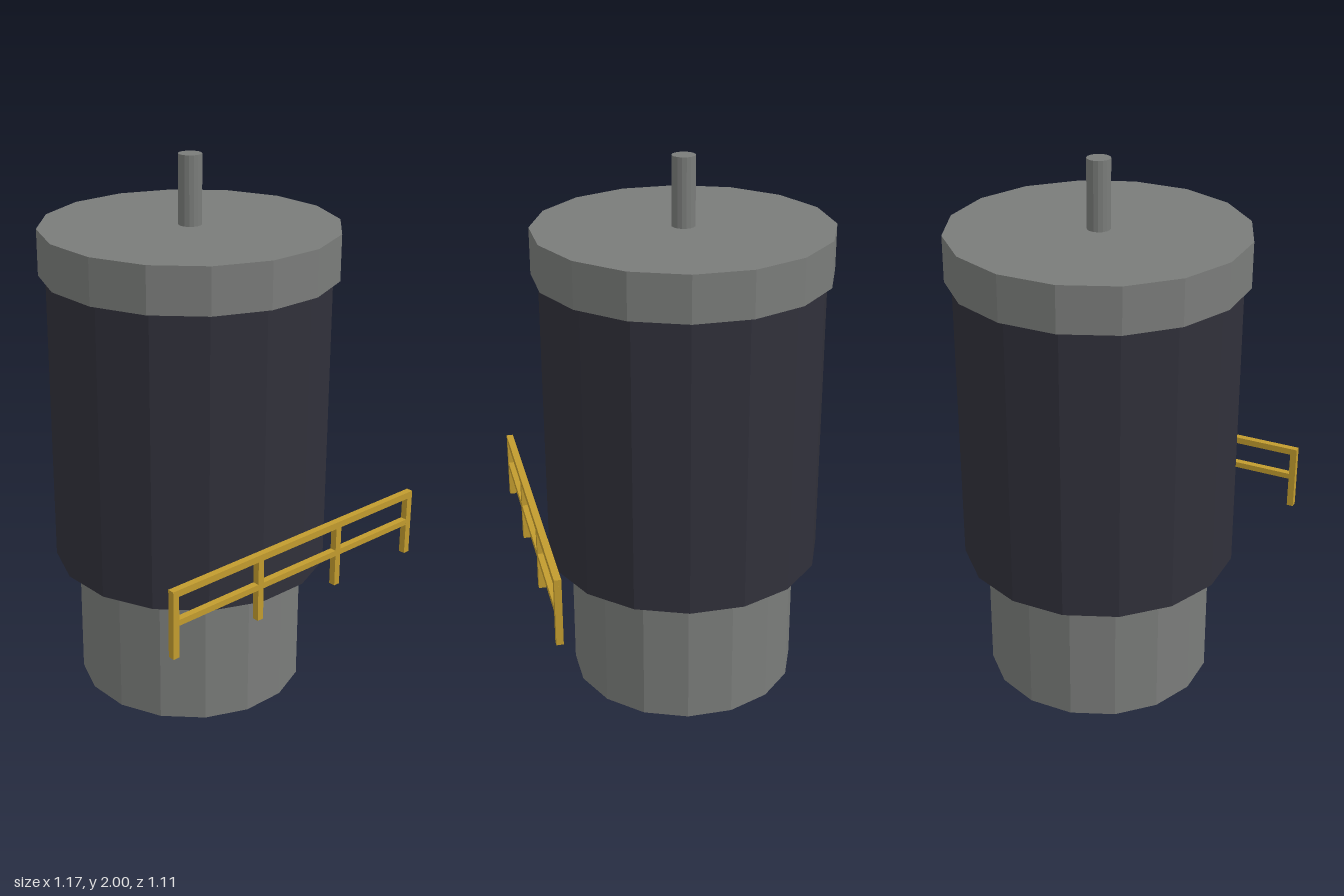
import * as THREE from 'three';

export function createModel() {
  const model = new THREE.Group();
  model.name = 'storageTank';

  const makeMaterial = (name, color) => {
    const m = new THREE.MeshStandardMaterial({ color, flatShading: true, side: THREE.DoubleSide });
    m.name = name;
    return m;
  };
  const grey = makeMaterial('steelGrey', 0x7a7c7a);
  const dark = makeMaterial('darkShell', 0x30303a);
  const yellow = makeMaterial('safetyYellow', 0xc29c2e);

  const SIDES = 16;
  const CENTRE_Z = -0.031;

  // Sixteen-sided ring from [radius, height] points, turned so a flat faces front
  function addRing(name, material, profile) {
    const points = profile.map(([r, y]) => new THREE.Vector2(r, y));
    const geometry = new THREE.LatheGeometry(points, SIDES, Math.PI / SIDES);
    const mesh = new THREE.Mesh(geometry, material);
    mesh.name = name;
    mesh.position.z = CENTRE_Z;
    model.add(mesh);
  }

  // Tank: open-bottomed base, wider shell, overhanging lid
  addRing('base', grey, [[0.423, 0], [0.423, 0.5]]);
  addRing('shell', dark, [[0.423, 0.5], [0.51, 0.5], [0.51, 1.586]]);
  addRing('lid', grey, [[0.51, 1.586], [0.535, 1.586], [0.535, 1.752], [0, 1.752]]);

  // Vent pipe on the lid
  const pipe = new THREE.Mesh(new THREE.CylinderGeometry(0.042, 0.042, 0.25, SIDES), grey);
  pipe.name = 'ventPipe';
  pipe.position.set(0, 1.875, CENTRE_Z);
  model.add(pipe);

  // Guard railing in front of the tank
  const railing = new THREE.Group();
  railing.name = 'railing';
  railing.position.z = 0.542;
  model.add(railing);

  const BAR = 0.025;
  function addBar(name, width, height, x, y) {
    const bar = new THREE.Mesh(new THREE.BoxGeometry(width, height, BAR), yellow);
    bar.name = name;
    bar.position.set(x, y, 0);
    railing.add(bar);
  }
  // Posts stop under the top rail
  for (let i = 0; i < 4; i++) addBar('post', BAR, 0.227, -0.571 + i * 0.3807, 0.6135);
  addBar('topRail', 1.167, BAR, 0, 0.7395);
  // Middle rail runs in three spans between the posts
  for (let i = 0; i < 3; i++) addBar('middleRail', 0.3807 - BAR, 0.022, -0.3807 + i * 0.3807, 0.63);

  return model;
}
